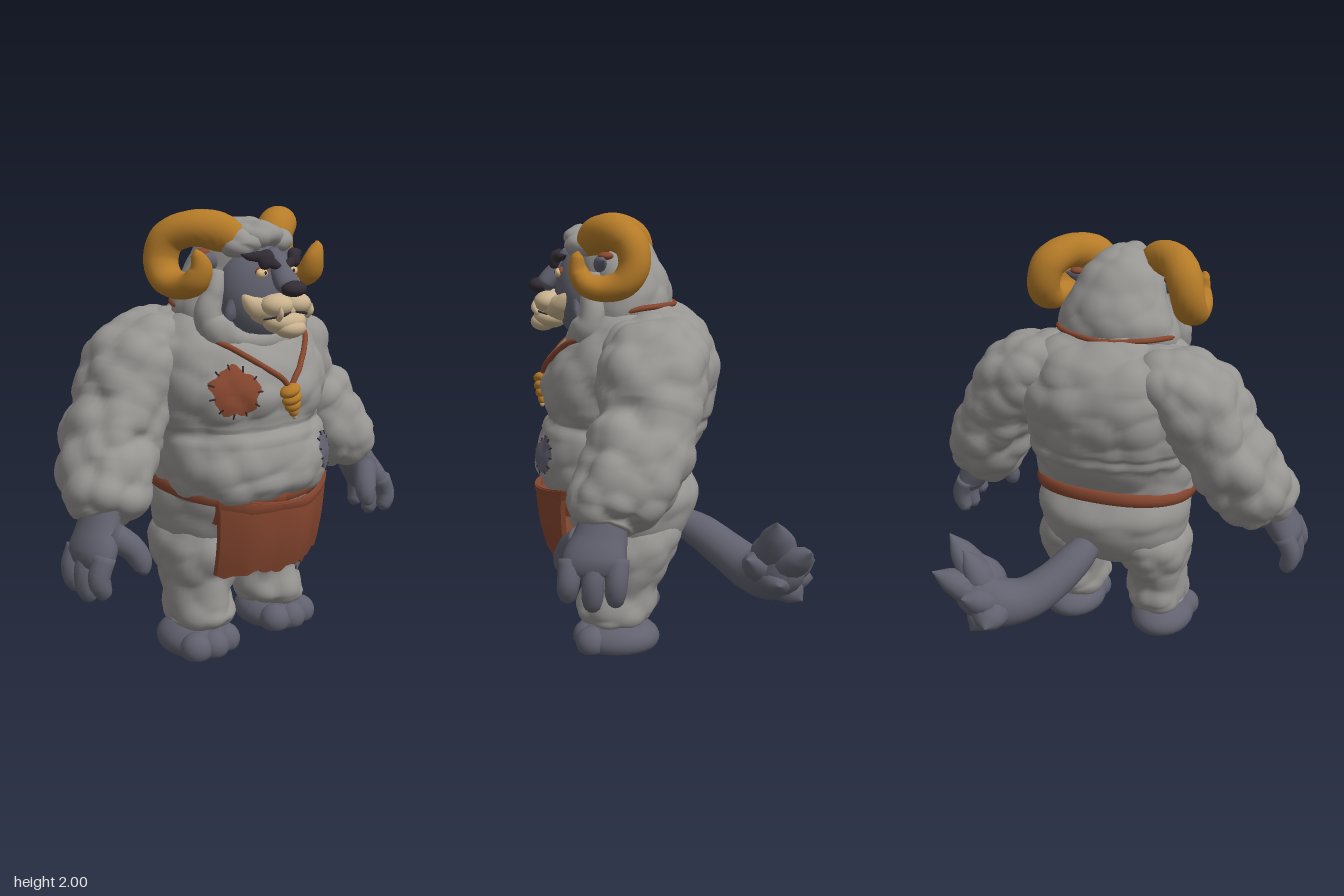
import * as THREE from 'three';

const V = (x, y, z) => new THREE.Vector3(x, y, z);
const mat = (name, color) => Object.assign(new THREE.MeshStandardMaterial({ color }), { name });
const Y = V(0, 1, 0), Z = V(0, 0, 1), X = V(1, 0, 0);
const spow = (v, p) => Math.sign(v) * Math.abs(v) ** p;

function mesh3(pos, idx) {
  const g = new THREE.BufferGeometry();
  g.setAttribute('position', new THREE.Float32BufferAttribute(pos, 3));
  g.setIndex(idx);
  g.computeVertexNormals();
  return g;
}
// Smooth closed body swept through sections [x, y, z, radiusA, radiusB]; flat ones run upward
function sweep(pts, { seg = 28, ring = 18, ref = Z, flat = false, pow = 1 } = {}) {
  const path = new THREE.CatmullRomCurve3(pts.map(p => V(p[0], p[1], p[2])));
  const size = new THREE.CatmullRomCurve3(pts.map(p => V(p[3], p[4] ?? p[3], 0)));
  const pos = [], idx = [];
  for (let i = 0; i <= seg; i++) {
    const c = path.getPoint(i / seg), r = size.getPoint(i / seg);
    const T = flat ? Y : path.getTangent(i / seg);
    const a = T.clone().cross(ref).normalize(), b = a.clone().cross(T);
    for (let j = 0; j < ring; j++) {
      const t = j / ring * Math.PI * 2;
      const p = c.clone().addScaledVector(a, spow(Math.cos(t), pow) * Math.max(r.x, 0.002))
        .addScaledVector(b, spow(Math.sin(t), pow) * Math.max(r.y, 0.002));
      pos.push(p.x, p.y, p.z);
      if (i < seg) {
        const k = i * ring + j, n = i * ring + (j + 1) % ring;
        idx.push(k, k + ring, n, n, k + ring, n + ring);
      }
    }
  }
  // End caps
  const s = path.getPoint(0), e = path.getPoint(1), first = pos.length / 3, last = seg * ring;
  pos.push(s.x, s.y, s.z, e.x, e.y, e.z);
  for (let j = 0; j < ring; j++) {
    const n = (j + 1) % ring;
    idx.push(first, j, n, first + 1, last + n, last + j);
  }
  return mesh3(pos, idx);
}
// Horizontal sections [y, halfWidth, backZ, frontZ]
const stack = rows => rows.map(([y, w, b, f]) => [0, y, (b + f) / 2, w, (f - b) / 2]);

// Puffy cell bumps along the normals
const hash = (x, y, z, k) => {
  const s = Math.sin(x * 127.1 + y * 311.7 + z * 74.7 + k * 53.3) * 43758.5453;
  return s - Math.floor(s);
};
function puff(x, y, z) {
  const ix = Math.floor(x), iy = Math.floor(y), iz = Math.floor(z);
  let d = 9;
  for (let a = ix - 1; a <= ix + 1; a++) for (let b = iy - 1; b <= iy + 1; b++) for (let c = iz - 1; c <= iz + 1; c++)
    d = Math.min(d, (a + hash(a, b, c, 1) - x) ** 2 + (b + hash(a, b, c, 2) - y) ** 2 + (c + hash(a, b, c, 3) - z) ** 2);
  return 0.4 - d;
}
function warp(g, fn) {
  const p = g.attributes.position, n = g.attributes.normal, v = V(0, 0, 0), w = V(0, 0, 0);
  for (let i = 0; i < p.count; i++) {
    fn(v.fromBufferAttribute(p, i), w.fromBufferAttribute(n, i));
    p.setXYZ(i, v.x, v.y, v.z);
  }
  g.computeVertexNormals();
  return g;
}
const woolly = (g, amp, f) => warp(g, (v, n) => v.addScaledVector(n, amp * puff(v.x * f, v.y * f, v.z * f)));
const ball = (x, y, z, rx, ry = rx, rz = rx) => new THREE.SphereGeometry(1, 24, 16).scale(rx, ry, rz).translate(x, y, z);

export function createModel() {
  const root = new THREE.Group();
  root.name = 'hornedBrute';
  const wool = mat('wool', 0x989693), skin = mat('slateSkin', 0x61616f), leather = mat('leather', 0x87472f);
  const horn = mat('horn', 0xb57b28), cream = mat('cream', 0xc9b28e), dark = mat('dark', 0x322c34), eyeMat = mat('eye', 0xd9bd8a);
  leather.side = skin.side = THREE.DoubleSide;
  const add = (name, g, m) => {
    const mesh = new THREE.Mesh(g, m);
    mesh.name = name;
    root.add(mesh);
    return mesh;
  };
  const ray = new THREE.Raycaster();
  const hit = (mesh, from, dir) => {
    ray.set(from, dir);
    return ray.intersectObject(mesh)[0]?.point;
  };

  // Torso and pelvis
  const torso = add('torso', woolly(sweep(stack([
    [0.725, 0.28, 0, 0.5], [0.755, 0.37, -0.04, 0.59], [0.82, 0.4, -0.075, 0.63], [0.9, 0.41, -0.1, 0.63],
    [1.0, 0.41, -0.155, 0.595], [1.08, 0.41, -0.185, 0.565], [1.14, 0.425, -0.2, 0.585], [1.22, 0.435, -0.22, 0.595],
    [1.32, 0.45, -0.225, 0.555], [1.42, 0.43, -0.2, 0.49], [1.5, 0.38, -0.15, 0.4], [1.56, 0.3, -0.07, 0.36],
    [1.61, 0.18, 0.03, 0.3]]), { seg: 72, ring: 84, flat: true, pow: 0.85 }), 0.04, 7), wool);
  add('pelvis', woolly(sweep(stack([[0.39, 0.14, 0.08, 0.34], [0.47, 0.31, -0.04, 0.43], [0.6, 0.37, -0.11, 0.5],
    [0.7, 0.385, -0.13, 0.54], [0.8, 0.365, -0.08, 0.54], [0.85, 0.25, 0, 0.45]]),
  { seg: 30, ring: 60, flat: true, pow: 0.9 }), 0.025, 6), wool);

  // Limbs, mirrored by s
  const legs = {};
  for (const s of [1, -1]) {
    const side = s > 0 ? 'left' : 'right';
    const mir = pts => pts.map(([x, ...r]) => [x * s, ...r]);
    const part = (name, pts, m, opt) => add(side + name, sweep(mir(pts), opt), m);
    add(side + 'Arm', woolly(sweep(mir([[0.12, 1.45, 0.07, 0.08, 0.15], [0.27, 1.43, 0.07, 0.135, 0.2],
      [0.37, 1.38, 0.07, 0.18, 0.225], [0.46, 1.29, 0.08, 0.22, 0.225], [0.54, 1.16, 0.095, 0.195, 0.215],
      [0.63, 1.02, 0.13, 0.195, 0.215], [0.69, 0.9, 0.19, 0.19, 0.205], [0.755, 0.8, 0.25, 0.16, 0.175],
      [0.785, 0.74, 0.27, 0.1, 0.11]]), { seg: 60, ring: 52, pow: 0.9 }), 0.055, 7.5), wool);
    // Hand with thumb and three thick fingers
    part('Palm', [[0.77, 0.82, 0.27, 0.07, 0.09], [0.815, 0.7, 0.29, 0.08, 0.115], [0.86, 0.62, 0.31, 0.075, 0.135],
      [0.875, 0.565, 0.31, 0.05, 0.11], [0.88, 0.55, 0.31, 0.01, 0.03]], skin);
    [[0.41, 0.46], [0.31, 0.42], [0.215, 0.44]].forEach(([z, y]) => part('Finger', [[0.865, 0.63, z, 0.048],
      [0.9, 0.55, z + 0.005, 0.047], [0.895, y + 0.05, z + 0.01, 0.044], [0.875, y + 0.012, z + 0.01, 0.033],
      [0.865, y, z + 0.01, 0.006]], skin, { ring: 12, seg: 14 }));
    part('Thumb', [[0.8, 0.7, 0.36, 0.06], [0.735, 0.64, 0.42, 0.055], [0.71, 0.58, 0.45, 0.047],
      [0.715, 0.54, 0.46, 0.03], [0.72, 0.53, 0.46, 0.006]], skin, { ring: 12, seg: 14 });
    // Leg with a puffy cuff, and a flat-soled foot
    legs[s] = add(side + 'Leg', woolly(sweep(mir([[0.23, 0.1, 0.25, 0.07, 0.08], [0.23, 0.13, 0.25, 0.14, 0.16],
      [0.22, 0.18, 0.25, 0.155, 0.185], [0.22, 0.27, 0.24, 0.14, 0.17], [0.215, 0.38, 0.22, 0.165, 0.205],
      [0.205, 0.5, 0.2, 0.18, 0.245], [0.19, 0.66, 0.2, 0.12, 0.2]]), { seg: 40, ring: 44, flat: true }), 0.04, 8), wool);
    const sole = g => warp(g, v => { v.y = Math.max(v.y, 0); });
    add(side + 'Foot', sole(ball(s * 0.248, 0.04, 0.25, 0.16, 0.1, 0.2)), skin);
    [[0.165, 0.365], [0.25, 0.385], [0.335, 0.365]].forEach(([x, z]) =>
      add(side + 'Toe', sole(ball(s * x, 0.045, z, 0.074, 0.072, 0.075)), skin));

    // Curled horn, flatter where it turns forward, and the ear inside its loop
    part('Horn', [[0.1, 1.85, 0.36, 0.07], [0.17, 1.905, 0.32, 0.085], [0.26, 1.92, 0.25, 0.078, 0.083],
      [0.33, 1.875, 0.17, 0.075, 0.083], [0.355, 1.785, 0.155, 0.07, 0.08], [0.36, 1.71, 0.2, 0.064, 0.08],
      [0.35, 1.685, 0.285, 0.058, 0.077], [0.345, 1.705, 0.365, 0.053, 0.07], [0.34, 1.765, 0.4, 0.042, 0.055],
      [0.36, 1.825, 0.4, 0.026], [0.365, 1.845, 0.395, 0.006]], horn, { seg: 60, ref: X });
    part('Ear', [[0.16, 1.77, 0.31, 0.035, 0.03], [0.22, 1.785, 0.31, 0.036, 0.03], [0.27, 1.797, 0.3, 0.022, 0.02],
      [0.3, 1.805, 0.29, 0.003]], skin, { ring: 12 });
    add(side + 'InnerEar', ball(s * 0.235, 1.82, 0.285, 0.035, 0.018, 0.035), leather);

    // Eye, eyelid, brow, cheek and tusk
    add(side + 'Eyelid', ball(s * 0.08, 1.742, 0.497, 0.037, 0.023, 0.02), leather);
    add(side + 'Eye', ball(s * 0.09, 1.738, 0.507, 0.03, 0.021, 0.018), eyeMat);
    add(side + 'Pupil', ball(s * 0.085, 1.74, 0.523, 0.007, 0.008, 0.005), dark);
    part('Brow', [[0.02, 1.762, 0.54, 0.014], [0.06, 1.782, 0.535, 0.024, 0.018], [0.11, 1.808, 0.51, 0.024, 0.018],
      [0.15, 1.81, 0.485, 0.016], [0.175, 1.82, 0.465, 0.003]], dark, { ring: 10 });
    add(side + 'MuzzleCheek', ball(s * 0.055, 1.603, 0.56, 0.076, 0.05, 0.068), cream);
    part('LipCorner', [[0.08, 1.58, 0.53, 0.05], [0.125, 1.6, 0.5, 0.045, 0.04], [0.15, 1.63, 0.475, 0.025],
      [0.16, 1.66, 0.455, 0.003]], cream, { ring: 12 });
    part('Tusk', [[0.085, 1.55, 0.605, 0.012], [0.09, 1.575, 0.625, 0.013], [0.094, 1.61, 0.625, 0.002]], cream, { ring: 8, seg: 8 });
    part('FaceTuft', [[0.15, 1.62, 0.42, 0.05, 0.03], [0.19, 1.56, 0.42, 0.035, 0.02], [0.22, 1.52, 0.41, 0.003]], skin, { ring: 10 });
  }

  // Woolly head with a collar around the jaw and curls on the forehead
  add('head', woolly(sweep(stack([[1.385, 0.1, 0.2, 0.42], [1.42, 0.23, 0.1, 0.45], [1.48, 0.29, 0.04, 0.44],
    [1.57, 0.295, 0.005, 0.42], [1.64, 0.28, -0.005, 0.42], [1.7, 0.25, 0.005, 0.42], [1.78, 0.22, 0.05, 0.43],
    [1.86, 0.185, 0.1, 0.45], [1.92, 0.125, 0.16, 0.43], [1.955, 0.04, 0.24, 0.35]]),
  { seg: 46, ring: 60, flat: true }), 0.025, 8), wool);
  add('collar', woolly(sweep([[-0.2, 1.74, 0.34, 0.03], [-0.235, 1.65, 0.35, 0.05], [-0.255, 1.54, 0.35, 0.058],
    [-0.185, 1.455, 0.4, 0.058], [0, 1.43, 0.43, 0.05], [0.185, 1.455, 0.4, 0.058], [0.255, 1.54, 0.35, 0.058],
    [0.235, 1.65, 0.35, 0.05], [0.2, 1.74, 0.34, 0.03]], { seg: 60 }), 0.02, 9), wool);
  [[0, 1.885, 0.37, 0.12, 0.065, 0.115], [0.095, 1.86, 0.365, 0.09, 0.055, 0.105], [-0.1, 1.855, 0.37, 0.09, 0.06, 0.1]]
    .forEach(c => add('foreheadCurl', woolly(ball(...c), 0.03, 13), wool));

  // Face
  add('face', ball(0, 1.64, 0.38, 0.208, 0.225, 0.155), skin);
  add('snoutBridge', sweep([[0, 1.82, 0.46, 0.04], [0, 1.75, 0.515, 0.045], [0, 1.69, 0.57, 0.06, 0.045],
    [0, 1.655, 0.59, 0.03]]), skin);
  add('nose', ball(0, 1.675, 0.61, 0.062, 0.035, 0.046), dark);
  add('muzzle', ball(0, 1.58, 0.5, 0.145, 0.075, 0.11), cream);
  add('chin', ball(0, 1.53, 0.555, 0.105, 0.055, 0.082), cream);
  add('beard', ball(0, 1.505, 0.592, 0.075, 0.043, 0.06), cream);
  add('mouth', sweep([[-0.13, 1.55, 0.56, 0.003], [-0.07, 1.566, 0.616, 0.006], [0, 1.578, 0.6, 0.007],
    [0.07, 1.566, 0.616, 0.006], [0.13, 1.55, 0.56, 0.003]], { ring: 8 }), dark);

  // Belt, higher at the back and tucked under the belly
  const profile = [[0.96, -0.034], [1, -0.028], [1.015, 0], [1, 0.028], [0.96, 0.034]].map(p => new THREE.Vector2(...p));
  add('belt', warp(new THREE.LatheGeometry(profile, 72), v => {
    const r = Math.hypot(v.x, v.z), c = v.x / r, d = v.z / r;
    v.set(spow(c, 0.85) * r * 0.4, v.y + 0.797 - d * 0.04, 0.237 + spow(d, 0.85) * r * 0.35);
  }), leather);

  // Loincloth with a ragged hem and a folded top, dipping in the middle
  const cloth = (name, w, top, bottom, out, rag) => add(name, warp(new THREE.BoxGeometry(2, 1, 0.022, 24, 8, 1), v => {
    const t = 0.5 - v.y, x = v.x * w * (1 - 0.1 * t), high = top + 0.04 * v.x * v.x;
    const hem = rag * (Math.sin(v.x * 9) + 0.6 * Math.sin(v.x * 23 + 1));
    v.set(x + 0.025 - 0.01 * t, high + (bottom + hem - high) * t,
      out - 1.35 * x * x - 0.06 * t * t + v.z + 0.012 * Math.sin(v.x * 8) * t);
  }), leather);
  cloth('loincloth', 0.335, 0.742, 0.41, 0.63, 0.013);
  cloth('loinclothFold', 0.345, 0.738, 0.65, 0.637, 0.006);

  // Neck cord, hidden under the collar at the sides, and twisted pendant
  const front = V(0, 0, -1), strand = [];
  for (let i = 1; i <= 7; i++) {
    const t = i / 7, p = hit(torso, V(0.27 * t, 1.26 + 0.2 * t, 2), front);
    strand.push(V(0.27 * t, 1.26 + 0.2 * t, p.z + 0.012));
  }
  strand.push(V(0.25, 1.53, 0.3), V(0.28, 1.585, 0.16), V(0.2, 1.595, 0.045));
  const low = V(0, 1.25, hit(torso, V(0, 1.25, 2), front).z + 0.012);
  const loop = [low, ...strand, V(0, 1.59, -0.02), ...strand.slice().reverse().map(p => V(-p.x, p.y, p.z))];
  add('neckCord', new THREE.TubeGeometry(new THREE.CatmullRomCurve3(loop, true), 140, 0.013, 8, true), leather);
  [[-0.008, 1.235, 0.052], [0.004, 1.2, 0.05], [0.012, 1.168, 0.04], [0.018, 1.142, 0.025]].forEach(([x, y, r]) =>
    add('pendant', ball(0, 0, 0, r, 0.028, r * 0.8).rotateZ(0.35).translate(x, y, 0.605), horn));
  add('pendantTip', ball(0.024, 1.12, 0.605, 0.012, 0.018, 0.012), cream);

  // Sewn patches draped on the surface, facing angle a about y
  function patch(name, mesh, x, y, a, r, m) {
    const d = V(Math.sin(a), 0, Math.cos(a)), u = V(Math.cos(a), 0, -Math.sin(a)), back = d.clone().negate();
    const start = hit(mesh, V(x, y, 2), front);
    const at = (t, q) => {
      const p = start.clone().addScaledVector(u, Math.cos(t) * q).addScaledVector(Y, Math.sin(t) * q);
      return (hit(mesh, p.clone().add(d), back) ?? p).clone().addScaledVector(d, 0.008);
    };
    const pos = [], idx = [], n = 36, rings = 5;
    for (let i = 0; i <= rings; i++) for (let j = 0; j < n; j++) {
      const t = j / n * Math.PI * 2, edge = r * (1 + 0.09 * Math.sin(5 * t) + 0.06 * Math.sin(9 * t + 1));
      pos.push(...at(t, edge * Math.max(i / rings, 0.01)).toArray());
      const k = i * n + j, l = i * n + (j + 1) % n;
      if (i < rings) idx.push(k, k + n, l, l, k + n, l + n);
    }
    add(name, mesh3(pos, idx), m);
    for (let j = 0; j < 11; j++) {
      const t = j / 11 * Math.PI * 2, line = new THREE.LineCurve3(at(t, r * 0.88), at(t, r * 1.12));
      add(name + 'Stitch', new THREE.TubeGeometry(line, 1, 0.004, 5), dark);
    }
  }
  patch('chestPatch', torso, -0.26, 1.25, -0.3, 0.102, leather);
  patch('bellyPatch', torso, 0.25, 0.92, 0.45, 0.08, skin);
  patch('legPatch', legs[1], 0.32, 0.355, 0.85, 0.08, skin);

  // Tail with a full tuft of pointed locks
  add('tail', sweep([[0.03, 0.57, 0, 0.06], [0.08, 0.5, -0.15, 0.085], [0.16, 0.42, -0.28, 0.095], [0.25, 0.37, -0.38, 0.105],
    [0.36, 0.385, -0.47, 0.12], [0.44, 0.45, -0.5, 0.115], [0.5, 0.54, -0.5, 0.04]], { seg: 36, ref: Y }), skin);
  const tuft = V(0.36, 0.39, -0.47);
  [[0.59, 0.7, -0.46], [0.5, 0.65, -0.5], [0.61, 0.57, -0.61], [0.44, 0.48, -0.65], [0.32, 0.35, -0.66], [0.43, 0.28, -0.6],
    [0.57, 0.4, -0.48], [0.5, 0.5, -0.34], [0.45, 0.6, -0.42]].forEach(tip => {
    const e = V(...tip), at = (t, r) => [...tuft.clone().lerp(e, t).toArray(), r, r * 0.8];
    add('tailLock', sweep([at(0, 0.07), at(0.45, 0.09), at(0.75, 0.066), at(1, 0.003)], { ring: 12, seg: 16, ref: Y }), skin);
  });
  return root;
}
